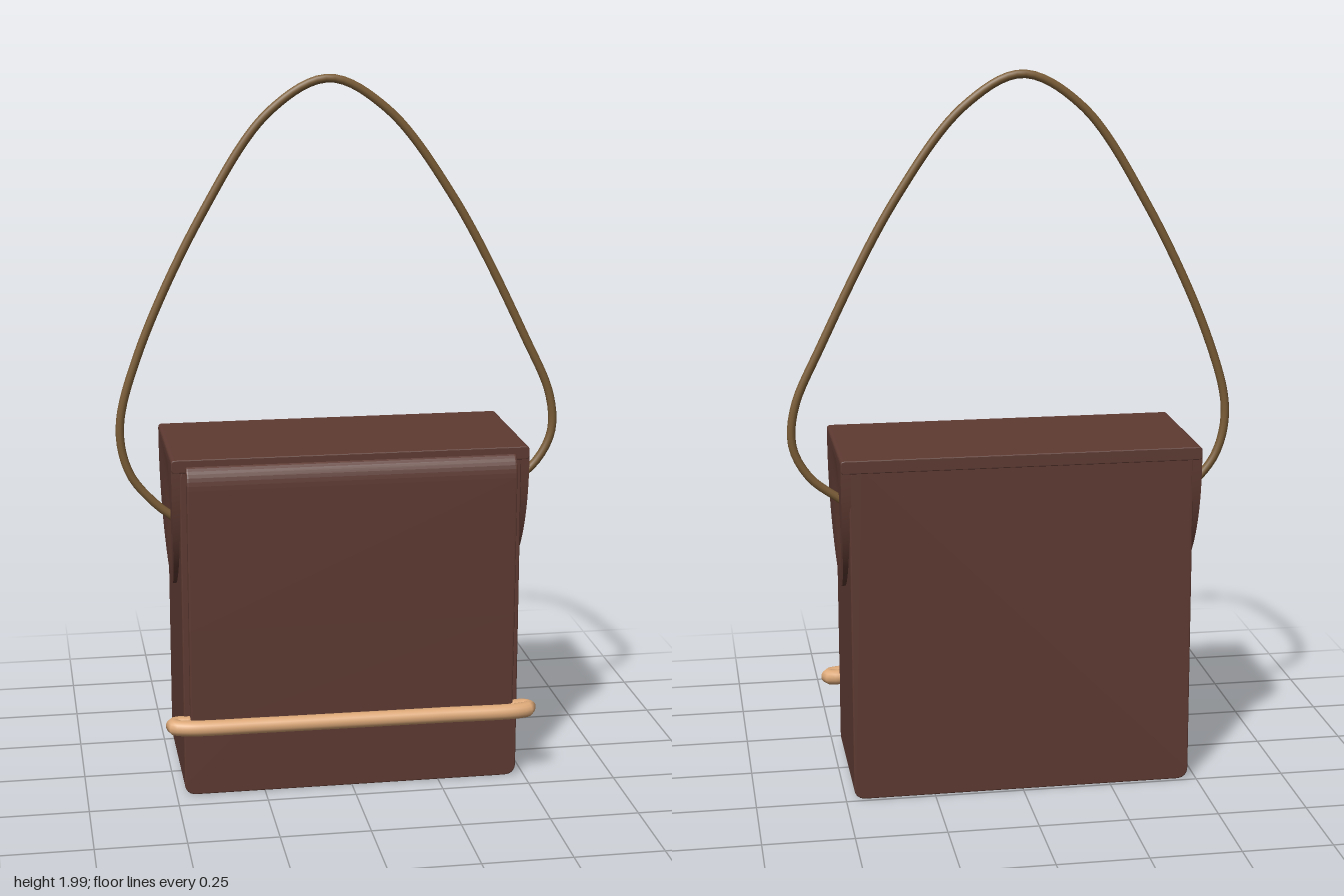
import * as THREE from 'three';

const mat = (name, color) => Object.assign(new THREE.MeshStandardMaterial({ color }), { name });

export function createModel() {
  const group = new THREE.Group();
  const leather = mat('dark brown leather', 0x5e3a32);
  const cord = mat('olive brown cord', 0x7a5c36);
  const wood = mat('tan wood', 0xdca878);
  const add = (name, geometry, material) => {
    const mesh = new THREE.Mesh(geometry, material);
    mesh.name = name;
    group.add(mesh);
    return mesh;
  };
  const v = (x, y, z) => new THREE.Vector3(x, y, z);

  // Upright panel with rounded corners, extruded along z
  const panel = (w, y0, y1, r, z0, z1, bevel) => {
    const s = new THREE.Shape();
    const b = bevel, x = w - b, lo = y0 + b, hi = y1 - b;
    s.moveTo(-x + r, lo);
    s.lineTo(x - r, lo).quadraticCurveTo(x, lo, x, lo + r);
    s.lineTo(x, hi - r).quadraticCurveTo(x, hi, x - r, hi);
    s.lineTo(-x + r, hi).quadraticCurveTo(-x, hi, -x, hi - r);
    s.lineTo(-x, lo + r).quadraticCurveTo(-x, lo, -x + r, lo);
    const g = new THREE.ExtrudeGeometry(s, {
      depth: z1 - z0 - 2 * b, bevelEnabled: b > 0, bevelSize: b, bevelThickness: b, bevelSegments: 3, curveSegments: 6,
    });
    return g.translate(0, 0, z0 + b);
  };
  add('body', panel(0.477, 0.005, 0.96, 0.03, -0.24, 0.18, 0.004), leather);
  add('lid', panel(0.5, 0.945, 0.982, 0.008, -0.248, 0.182, 0.003), leather);

  // Front flap: side profile (z, y) swept across the width
  const flap = new THREE.Shape();
  flap.moveTo(0.17, 0.2);
  flap.lineTo(0.197, 0.2).lineTo(0.204, 0.5).lineTo(0.206, 0.9);
  flap.quadraticCurveTo(0.206, 0.955, 0.17, 0.965).lineTo(0.17, 0.2);
  const flapGeo = new THREE.ExtrudeGeometry(flap, {
    depth: 0.91, bevelEnabled: true, bevelSize: 0.002, bevelThickness: 0.005, bevelSegments: 2, curveSegments: 8,
  });
  flapGeo.rotateY(-Math.PI / 2).translate(0.455, 0, 0);
  add('frontFlap', flapGeo, leather);

  // Side tongues: a slab tapered to a rounded tip and pinched at the cord
  for (const side of [1, -1]) {
    const g = new THREE.BoxGeometry(1, 1, 1, 1, 20, 16);
    const p = g.attributes.position;
    for (let i = 0; i < p.count; i++) {
      const t = 0.5 - p.getY(i);
      const u = p.getZ(i) * 2;
      const half = 0.212 * Math.pow(Math.max(0, 1 - Math.pow(t, 2.6)), 0.62);
      const dent = 0.016 * Math.exp(-Math.pow(u / 0.4, 2)) * Math.sin(Math.PI * Math.min(1, t * 1.1));
      const outer = 0.5 - 0.014 * t * t - dent;
      const isOuter = p.getX(i) * side > 0;
      p.setXYZ(i, side * (isOuter ? outer : 0.472), 0.965 - 0.4 * t, -0.033 + u * half);
    }
    g.computeVertexNormals();
    add(side > 0 ? 'leftTongue' : 'rightTongue', g, leather);
  }

  // Carrying cord, arched over the top
  const arch = [
    [-0.475, 0.765], [-0.53, 0.81], [-0.6, 0.9], [-0.625, 1.03], [-0.57, 1.24], [-0.39, 1.62],
    [-0.2, 1.9], [-0.035, 1.988], [0.125, 1.905], [0.32, 1.65], [0.53, 1.25], [0.605, 1.08],
    [0.612, 0.97], [0.565, 0.88], [0.475, 0.81],
  ].map(([x, y]) => v(x, y, -0.014 - 0.012 * x));
  add('handle', new THREE.TubeGeometry(new THREE.CatmullRomCurve3(arch), 120, 0.012, 10), cord);

  // Wooden clasp bar with ends hooked back to the body
  const bar = [
    [-0.465, 0.185], [-0.5, 0.183], [-0.508, 0.203], [-0.47, 0.219], [-0.25, 0.223], [0, 0.222],
    [0.25, 0.22], [0.47, 0.218], [0.508, 0.203], [0.5, 0.187], [0.465, 0.188],
  ].map(([x, z]) => v(x, 0.218 - 0.006 * x, z));
  add('claspBar', new THREE.TubeGeometry(new THREE.CatmullRomCurve3(bar), 90, 0.022, 14), wood);
  for (const end of [bar[0], bar[bar.length - 1]]) {
    add('claspBarEnd', new THREE.SphereGeometry(0.022, 14, 10), wood).position.copy(end);
  }
  return group;
}
